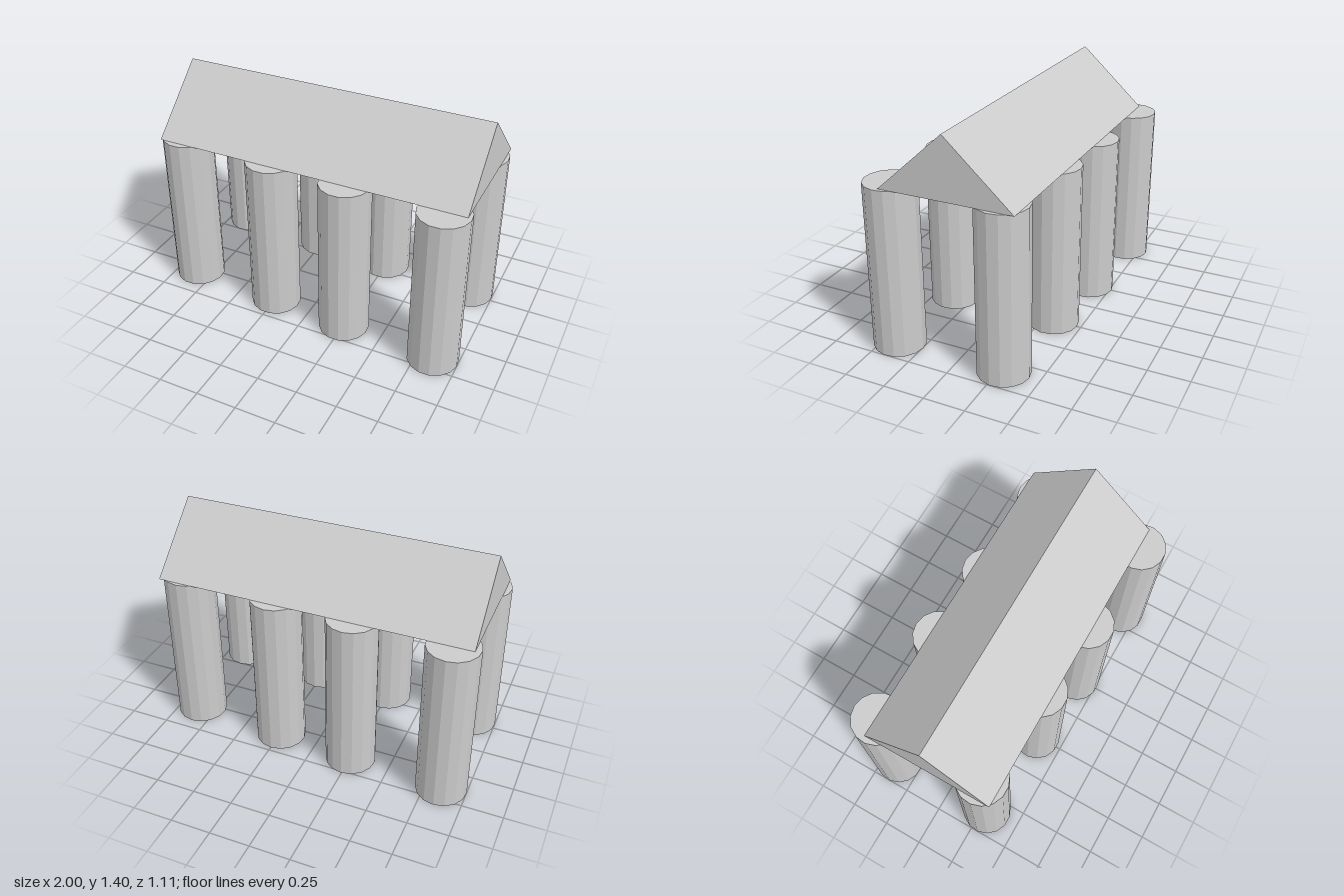
import * as THREE from 'three';

const COLUMN_HEIGHT = 1.033;
const COLUMN_RADIUS = 0.155;

export function createModel() {
  const model = new THREE.Group();
  const material = new THREE.MeshStandardMaterial({ color: 0xcccccc, flatShading: true });

  // Two slanting rows of four faceted columns
  const columns = new THREE.Group();
  columns.name = 'columns';
  const columnGeometry = new THREE.CylinderGeometry(
    COLUMN_RADIUS, COLUMN_RADIUS, COLUMN_HEIGHT, 15, 1, false, Math.PI);
  columnGeometry.translate(0, COLUMN_HEIGHT / 2, 0);
  const columnX = [-0.846, -0.248, 0.247, 0.846];
  columnX.forEach((x, i) => {
    const shift = i * 0.04;
    for (const [row, z] of [['front', 0.28 + shift], ['back', -0.4 + shift]]) {
      const column = new THREE.Mesh(columnGeometry, material);
      column.name = `${row}Column${i + 1}`;
      column.position.set(x, 0, z);
      columns.add(column);
    }
  });
  model.add(columns);

  // Triangular prism roof, extruded along x
  const gable = new THREE.Shape();
  gable.moveTo(-0.403, 0);
  gable.lineTo(0.403, 0);
  gable.lineTo(0, 0.369);
  gable.closePath();
  const roofGeometry = new THREE.ExtrudeGeometry(gable, { depth: 1.94, bevelEnabled: false });
  roofGeometry.translate(0, 0, -0.97);
  roofGeometry.rotateY(Math.PI / 2);
  const roof = new THREE.Mesh(roofGeometry, material);
  roof.name = 'roof';
  roof.position.set(0.005, COLUMN_HEIGHT, -0.008);
  model.add(roof);

  return model;
}
